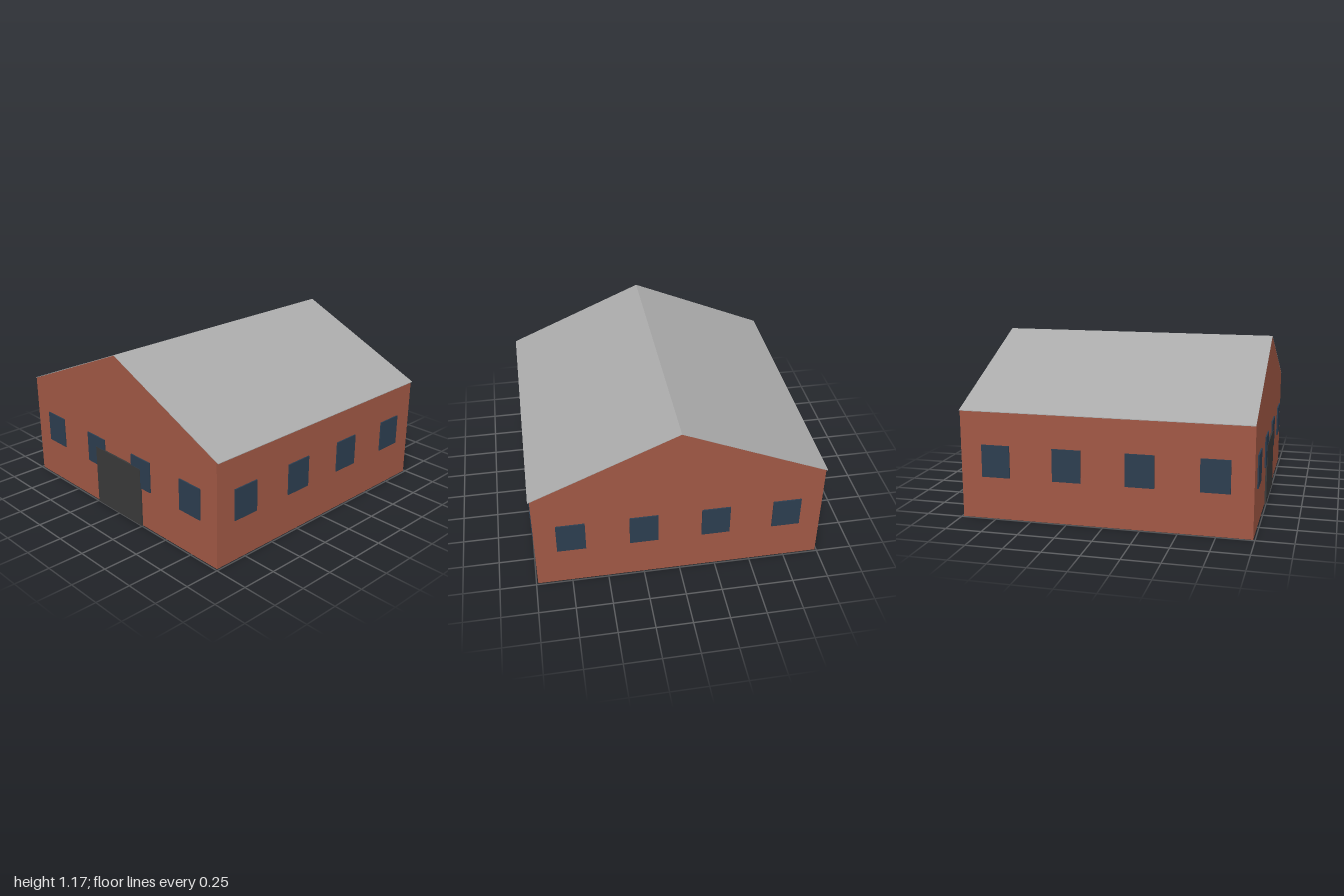
import * as THREE from 'three';

const H = 0.988;      // half width and depth of the walls
const EAVE = 0.745;   // wall height at the eaves
const RIDGE = 1.174;  // height of the ridge

function material(name, color) {
  const m = new THREE.MeshStandardMaterial({ color });
  m.name = name;
  return m;
}

// Extrudes an outline along z, centred on z = 0
function extrudeZ(points, depth) {
  const shape = new THREE.Shape(points.map(([x, y]) => new THREE.Vector2(x, y)));
  return new THREE.ExtrudeGeometry(shape, { depth, bevelEnabled: false }).translate(0, 0, -depth / 2);
}

export function createModel() {
  const brick = material('brick', 0xa15845);
  const roofGrey = material('roofGrey', 0xaaaaaa);
  const glass = material('glass', 0x2c3e50);
  const doorGrey = material('doorGrey', 0x3a3a3a);

  const model = new THREE.Group();
  model.name = 'gabledBuilding';
  const add = (name, geometry, mat, parent = model) => {
    const mesh = new THREE.Mesh(geometry, mat);
    mesh.name = name;
    parent.add(mesh);
    return mesh;
  };

  // Walls with gables at front and back
  add('walls', extrudeZ([[-H, 0], [H, 0], [H, EAVE], [0, RIDGE - 0.001], [-H, EAVE]], 2 * H), brick);

  // Thin roof slopes that just overhang the side walls
  const drop = EAVE - 0.004;
  for (const s of [-1, 1]) {
    const outline = [[0, RIDGE - 0.004], [s, drop], [s, drop + 0.004], [0, RIDGE + 0.001]];
    add(s < 0 ? 'rightRoofSlope' : 'leftRoofSlope', extrudeZ(outline, 2 * H), roofGrey);
  }

  // Four windows on each of the four walls
  const pane = new THREE.BoxGeometry(0.196, 0.222, 0.009);
  ['front', 'left', 'back', 'right'].forEach((side, i) => {
    const row = new THREE.Group();
    row.name = side + 'Windows';
    row.rotation.y = i * Math.PI / 2;
    for (let k = 0; k < 4; k++) {
      add('window', pane, glass, row).position.set((k - 1.5) * 0.494, 0.403, H + 0.0055);
    }
    model.add(row);
  });

  // Wide front door
  add('door', new THREE.BoxGeometry(0.49, 0.433, 0.012), doorGrey).position.set(0, 0.2165, H + 0.006);

  return model;
}
